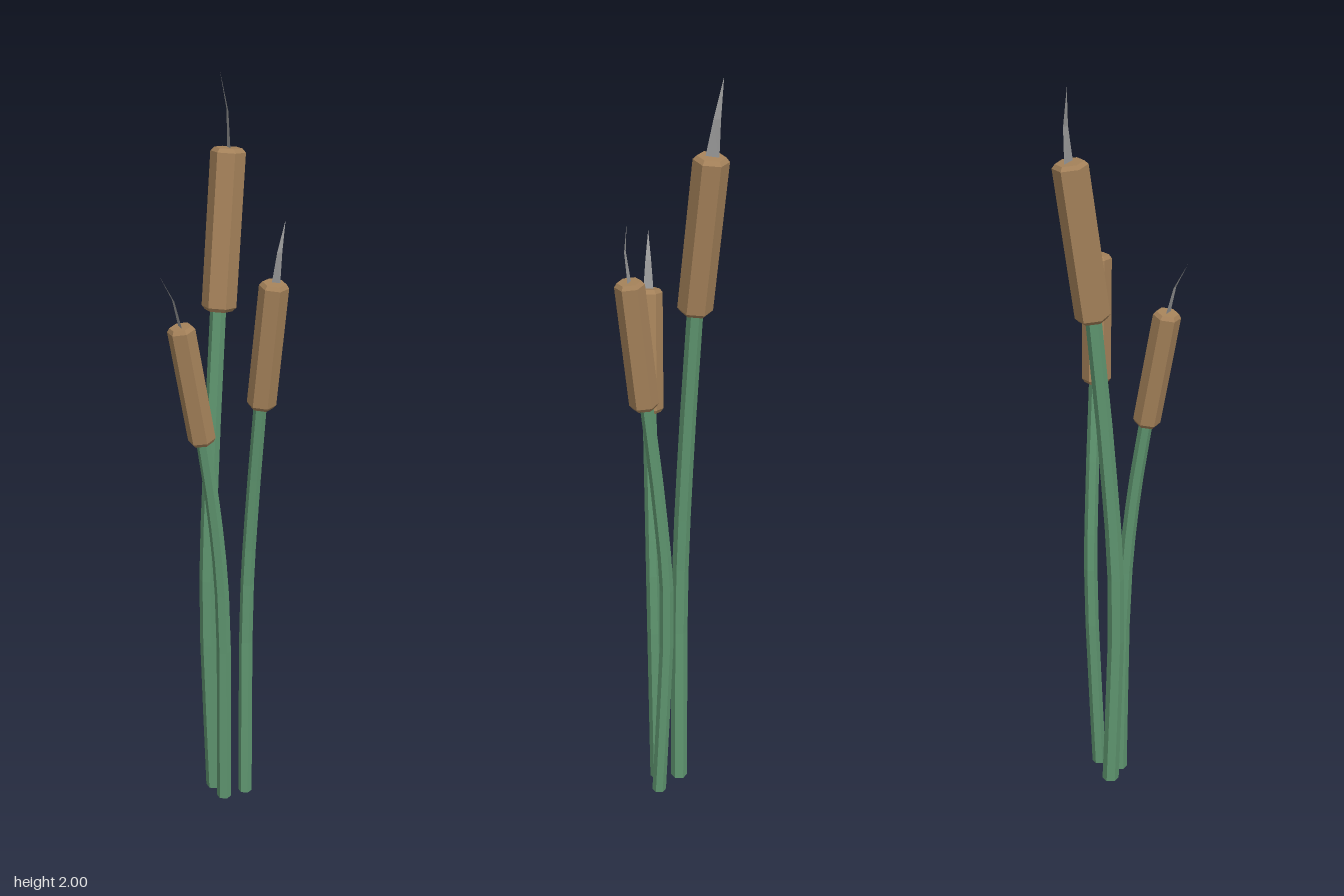
import * as THREE from 'three';

const flat = (name, color, extra = {}) =>
  Object.assign(new THREE.MeshStandardMaterial({ color, flatShading: true, ...extra }), { name });

const V = (p) => new THREE.Vector3(...p);

// six-sided stalk whose rings follow a curve
function makeStem(points, r, mat) {
  const curve = new THREE.CatmullRomCurve3(points.map(V));
  const geo = new THREE.CylinderGeometry(r * 0.9, r, 1, 6, 8);
  const pos = geo.attributes.position;
  for (let i = 0; i < pos.count; i++) {
    const c = curve.getPoint(THREE.MathUtils.clamp(pos.getY(i) + 0.5, 0, 1));
    pos.setXYZ(i, c.x + pos.getX(i), c.y, c.z + pos.getZ(i));
  }
  geo.computeVertexNormals();
  const mesh = new THREE.Mesh(geo, mat);
  mesh.name = 'stem';
  return mesh;
}

// six-sided seed head with small bevels, running from point a to point b
function makeHead(a, b, r, mat) {
  const axis = V(b).sub(V(a));
  const h = axis.length(), e = 0.01;
  const profile = [[0, 0], [r * 0.8, 0], [r, e], [r, h - e], [r * 0.8, h], [0, h]];
  const geo = new THREE.LatheGeometry(profile.map(([x, y]) => new THREE.Vector2(x, y)), 6);
  const mesh = new THREE.Mesh(geo, mat);
  mesh.name = 'seedHead';
  mesh.position.set(...a);
  mesh.quaternion.setFromUnitVectors(new THREE.Vector3(0, 1, 0), axis.normalize());
  return mesh;
}

// curved flat blade: base edge, middle edge, tip
function makeSpike(p, mat) {
  const geo = new THREE.BufferGeometry();
  geo.setAttribute('position', new THREE.Float32BufferAttribute(p.flat(), 3));
  geo.setIndex([0, 1, 2, 1, 3, 2, 2, 3, 4]);
  geo.computeVertexNormals();
  const mesh = new THREE.Mesh(geo, mat);
  mesh.name = 'tipSpike';
  return mesh;
}

export function createModel() {
  const green = flat('stem green', 0x5f9670);
  const brown = flat('seed head brown', 0xa5825a);
  const grey = flat('spike grey', 0x999999, { side: THREE.DoubleSide });

  const reeds = [
    {
      name: 'tallReed', stemR: 0.023, headR: 0.045,
      stem: [[0.02, 0, -0.024], [0, 0.6, -0.026], [0.017, 1.0, -0.04], [0.046, 1.42, -0.062]],
      head: [[0.046, 1.4, -0.06], [0.087, 1.81, -0.097]],
      spike: [[0.086, 1.8, -0.08], [0.091, 1.8, -0.115], [0.088, 1.9, -0.1], [0.091, 1.9, -0.118], [0.075, 2.0, -0.125]],
    },
    {
      name: 'leftReed', stemR: 0.02, headR: 0.036,
      stem: [[0.024, 0, 0.037], [0.014, 0.6, 0.046], [-0.011, 0.87, 0.05], [-0.048, 1.11, 0.054]],
      head: [[-0.046, 1.09, 0.053], [-0.105, 1.41, 0.054]],
      spike: [[-0.104, 1.4, 0.041], [-0.104, 1.4, 0.068], [-0.124, 1.48, 0.047], [-0.124, 1.48, 0.062], [-0.161, 1.55, 0.054]],
    },
    {
      name: 'rightReed', stemR: 0.019, headR: 0.038,
      stem: [[0.09, 0, 0.033], [0.1, 0.6, 0.011], [0.105, 0.88, 0.03], [0.111, 1.19, 0.064]],
      head: [[0.111, 1.17, 0.067], [0.127, 1.51, 0.103]],
      spike: [[0.121, 1.5, 0.097], [0.141, 1.5, 0.106], [0.13, 1.59, 0.11], [0.142, 1.59, 0.114], [0.153, 1.67, 0.107]],
    },
  ];

  const model = new THREE.Group();
  model.name = 'reedCluster';
  for (const d of reeds) {
    const reed = new THREE.Group();
    reed.name = d.name;
    reed.add(makeStem(d.stem, d.stemR, green), makeHead(...d.head, d.headR, brown), makeSpike(d.spike, grey));
    model.add(reed);
  }
  return model;
}
